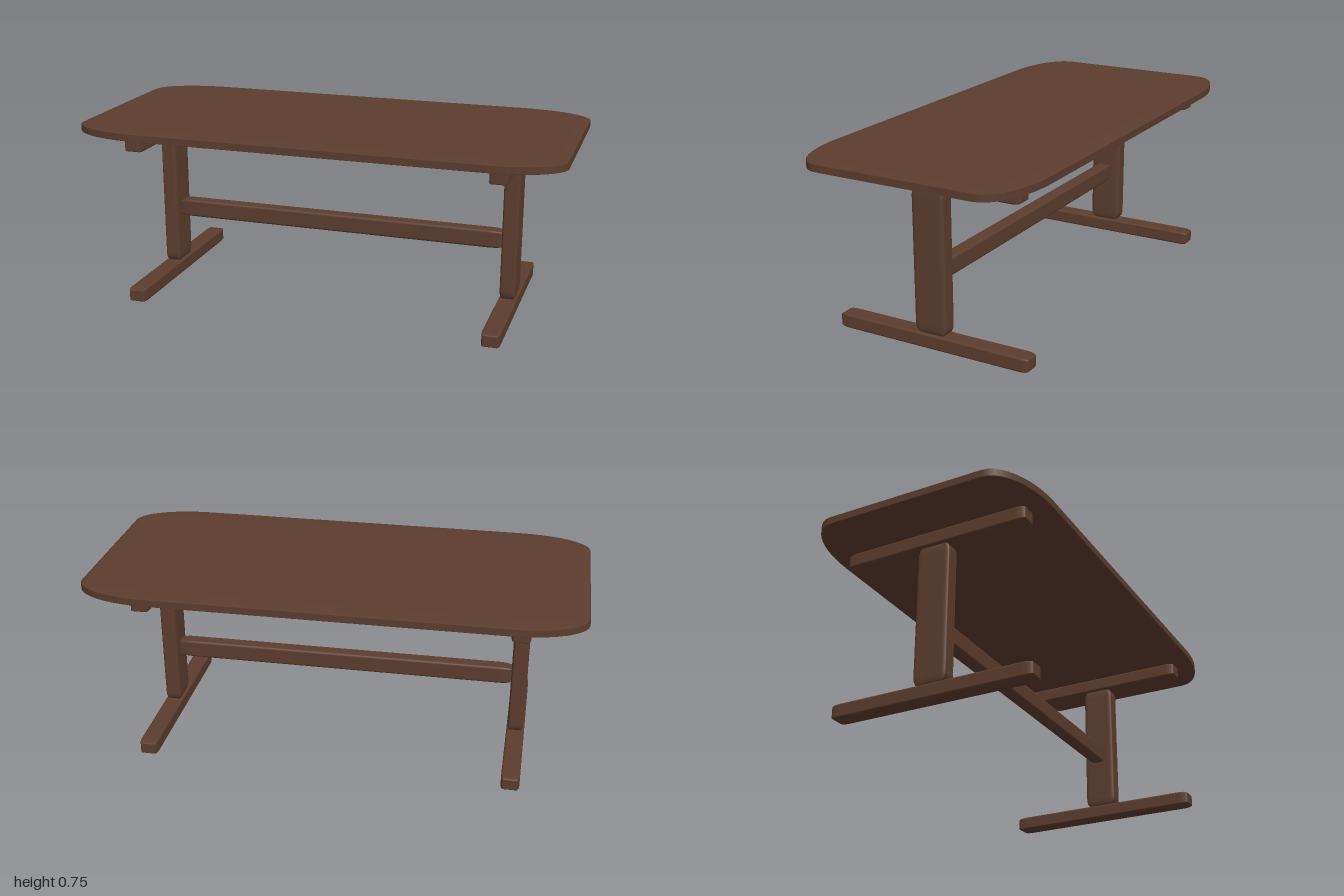
import * as THREE from 'three';
import { RoundedBoxGeometry } from 'three/addons/geometries/RoundedBoxGeometry.js';

// Box with a separate rounding length along each axis (size and round are [x, y, z]).
function softBox(size, round) {
  const r = 0.3, core = 1 - r;
  const geo = new RoundedBoxGeometry(2, 2, 2, 6, r);
  const pos = geo.attributes.position, nor = geo.attributes.normal;
  const n = new THREE.Vector3();
  for (let i = 0; i < pos.count; i++) {
    for (let a = 0; a < 3; a++) {
      const v = pos.getComponent(i, a);
      const t = (Math.abs(v) - core) / r;
      pos.setComponent(i, a, Math.sign(v) * (size[a] / 2 - round[a] * (1 - t)));
    }
    n.fromBufferAttribute(nor, i);
    n.set(n.x / round[0], n.y / round[1], n.z / round[2]).normalize();
    nor.setXYZ(i, n.x, n.y, n.z);
  }
  geo.computeBoundingSphere();
  return geo;
}

export function createModel() {
  const table = new THREE.Group();
  table.name = 'trestleTable';
  const wood = new THREE.MeshStandardMaterial({ color: 0x5c3d2e });
  wood.name = 'dark brown wood';

  // Adds a beam spanning y0..y1, centred on z = 0
  function beam(name, x, y0, y1, width, depth, round, parent = table) {
    const mesh = new THREE.Mesh(softBox([width, y1 - y0, depth], round), wood);
    mesh.name = name;
    mesh.position.set(x, (y0 + y1) / 2, 0);
    parent.add(mesh);
  }

  // Top with wide, soft corners
  beam('tableTop', 0, 0.705, 0.75, 2, 0.946, [0.3, 0.009, 0.142]);

  // Trestles: foot, post and cross support at each end
  for (const side of [-1, 1]) {
    const trestle = new THREE.Group();
    trestle.name = side > 0 ? 'leftTrestle' : 'rightTrestle';
    const x = side * 0.75;
    beam('foot', x, 0, 0.06, 0.075, 0.85, [0.011, 0.009, 0.04], trestle);
    beam('post', x, 0.06, 0.643, 0.066, 0.138, [0.009, 0.04, 0.021], trestle);
    beam('topSupport', x, 0.643, 0.705, 0.075, 0.788, [0.011, 0.009, 0.04], trestle);
    table.add(trestle);
  }

  // Stretcher between the posts
  beam('stretcher', 0, 0.265, 0.34, 1.44, 0.06, [0.06, 0.011, 0.009]);

  return table;
}
